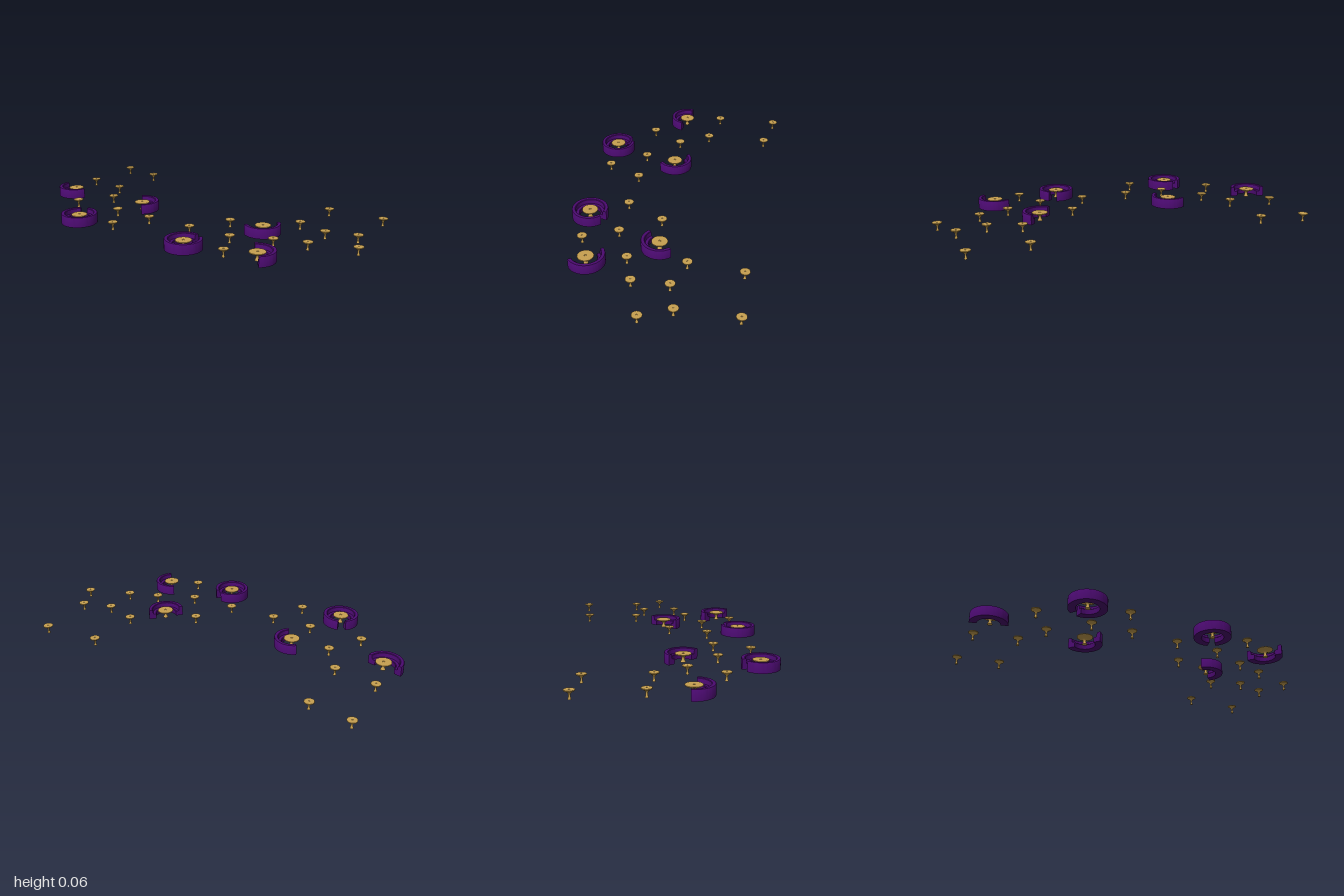
import * as THREE from 'three';
import { toCreasedNormals } from 'three/addons/utils/BufferGeometryUtils.js';

const purple = new THREE.MeshStandardMaterial({ color: 0x4b0a70, side: THREE.DoubleSide });
const wood = new THREE.MeshStandardMaterial({ color: 0xc8a050 });
const rad = THREE.MathUtils.degToRad;
const points = (list) => list.map(([x, y]) => new THREE.Vector2(x, y));

// Booth cross-section (radius, height): low seat inside, tall back outside
const boothProfile = points([
  [0.06, 0], [0.1, 0], [0.1, 0.053], [0.098, 0.056], [0.082, 0.056],
  [0.079, 0.053], [0.076, 0.03], [0.061, 0.03], [0.058, 0.027], [0.06, 0],
]);

// Pedestal table: flared foot, slim stem, conical underside, dimpled top
const tableProfile = points([
  [0, 0], [0.0085, 0], [0.0075, 0.004], [0.005, 0.014], [0.005, 0.024],
  [0.009, 0.031], [0.018, 0.038], [0.026, 0.042], [0.027, 0.044],
  [0.0265, 0.047], [0.004, 0.047], [0.003, 0.045], [0, 0.045],
]);
const tableGeometry = toCreasedNormals(new THREE.LatheGeometry(tableProfile, 24), 0.6);

function makeTable(name, x, z, width = 1) {
  const table = new THREE.Mesh(tableGeometry, wood);
  table.name = name;
  table.position.set(x, 0, z);
  table.scale.set(width, 1, width);
  return table;
}

// Curved booth spanning plan angles from..to (degrees, from +x towards +z)
function makeBooth(x, z, from, to) {
  const booth = new THREE.Group();
  booth.name = 'booth';
  booth.position.set(x, 0, z);
  const start = rad(90 - to), sweep = rad(to - from);
  const seat = new THREE.Mesh(
    toCreasedNormals(new THREE.LatheGeometry(boothProfile, 40, start, sweep), 0.6), purple);
  seat.name = 'curvedBench';
  booth.add(seat);
  // Flat closing panels at both ends
  for (const phi of [start, start + sweep]) {
    const cap = new THREE.Mesh(
      new THREE.ShapeGeometry(new THREE.Shape(boothProfile.slice(0, -1))), purple);
    cap.name = 'benchEnd';
    cap.rotation.y = phi - Math.PI / 2;
    booth.add(cap);
  }
  return booth;
}

export function createModel() {
  const model = new THREE.Group();
  model.name = 'loungeSeating';

  // Booths: x, z, start angle, end angle, table x offset
  const booths = [
    [-0.9, 0.05, 15, 195, 0.006],
    [-0.374, 0.05, -127, 53, 0.004],
    [-0.513, 0.43, -101, 233, 0],
    [0.203, 0.43, -49, 285, 0],
    [0.415, 0.003, -45, 135, 0.004],
    [0.588, 0.355, -127, 53, 0.006],
  ];
  for (const [x, z, from, to, shift] of booths) {
    model.add(makeBooth(x, z, from, to), makeTable('boothTable', x + shift, z, 1.63));
  }

  // Free-standing small tables: x, z
  const spots = [
    [-0.925, -0.51], [-0.69, -0.465], [-0.925, -0.166], [-0.69, -0.12],
    [-0.59, 0.05], [-0.71, 0.227], [-0.406, 0.227], [-0.174, 0.233],
    [-0.275, 0.422], [0.1, 0.233], [0.355, 0.233], [0.435, 0.415],
    [0.225, 0.024], [0.588, -0.457], [0.906, -0.468], [0.556, -0.163],
    [0.733, -0.104], [0.9, -0.147], [0.972, 0.013], [0.733, 0.093],
    [0.564, 0.147],
  ];
  for (const [x, z] of spots) model.add(makeTable('smallTable', x, z));
  return model;
}
